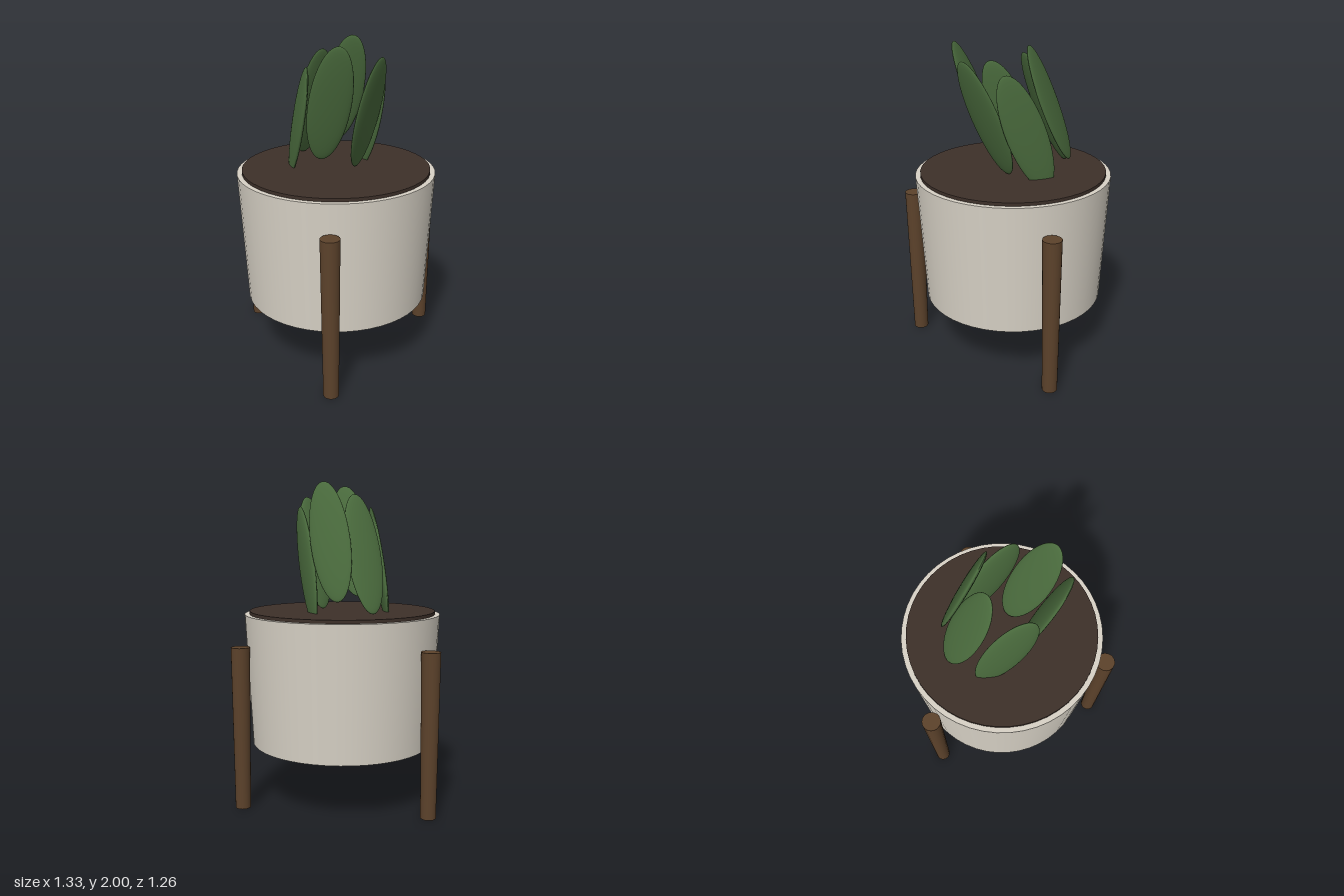
import * as THREE from 'three';

export function createModel() {
  const model = new THREE.Group();
  model.name = 'pottedPlant';

  const material = (name, color) => {
    const m = new THREE.MeshStandardMaterial({ color });
    m.name = name;
    return m;
  };
  const ceramic = material('ceramic', 0xd8d2c6);
  const earth = material('earth', 0x3d3029);
  const wood = material('wood', 0x5c422b);
  const green = material('leafGreen', 0x4a6b3d);

  const centre = -0.053; // the pot's axis in x

  const add = (name, geometry, mat, x, y, z) => {
    const mesh = new THREE.Mesh(geometry, mat);
    mesh.name = name;
    mesh.position.set(x, y, z);
    model.add(mesh);
    return mesh;
  };

  // Tapered pot with a thin disc of soil on top
  add('pot', new THREE.CylinderGeometry(0.612, 0.57, 0.82, 48), ceramic, centre, 0.78, 0);
  add('soil', new THREE.CylinderGeometry(0.581, 0.581, 0.04, 48), earth, centre, 1.19, 0);

  // Three tapered legs around the pot
  const legGeometry = new THREE.CylinderGeometry(0.058, 0.047, 1.006, 20);
  for (let i = 0; i < 3; i++) {
    const a = (i * Math.PI * 2) / 3;
    add('leg', legGeometry, wood, centre + 0.66 * Math.cos(a), 0.503, 0.66 * Math.sin(a));
  }

  // Ring of flat oval leaves, each turned along the ring and all tipped forward
  const leafGeometry = new THREE.SphereGeometry(1, 32, 20);
  leafGeometry.scale(0.026, 0.381, 0.125);
  [0, 1.1, 2.2, 3.4, 4.5, 5.4].forEach((a, i) => {
    const leaf = add('leaf', leafGeometry, green,
      centre + 0.233 * Math.cos(a), 1.496 + 0.0735 * (i % 3), 0.233 * Math.sin(a));
    leaf.rotation.set(0.38, -a, 0);
  });

  return model;
}
